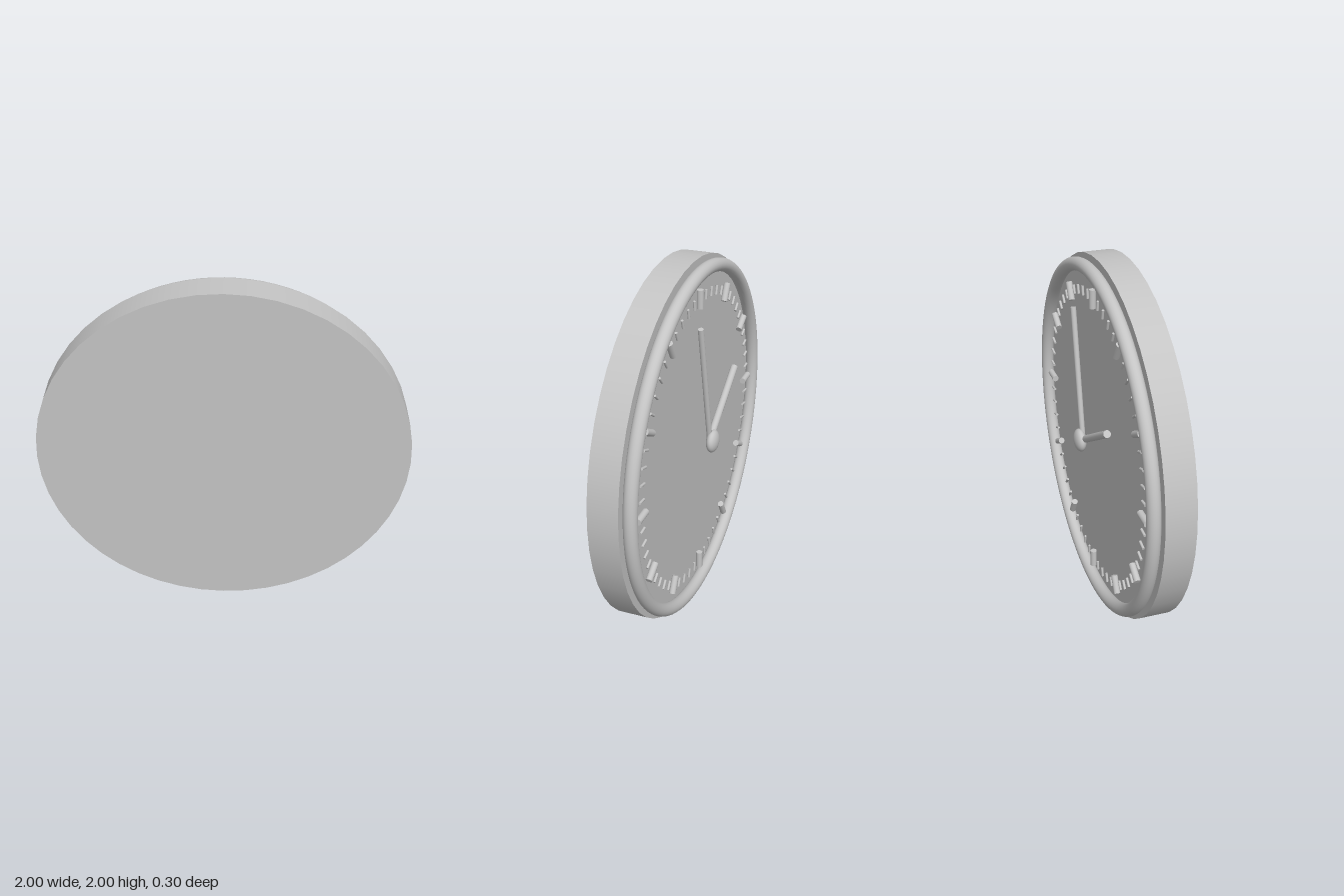
import * as THREE from 'three';

export function createModel() {
  const model = new THREE.Group();
  const grey = new THREE.MeshStandardMaterial({ color: 0xc4c4c4 });
  grey.name = 'plain grey';

  // The dial looks towards -z; everything is placed around its centre.
  const clock = new THREE.Group();
  clock.name = 'clock';
  clock.position.y = 1;
  model.add(clock);

  function add(name, geometry, parent = clock) {
    const mesh = new THREE.Mesh(geometry, grey);
    mesh.name = name;
    parent.add(mesh);
    return mesh;
  }

  // Round rod lying along a radius; the angle runs clockwise from twelve as read on the dial.
  function radialRod(name, radius, inner, outer, z, angle, parent) {
    const geometry = new THREE.CylinderGeometry(radius, radius, outer - inner, 16);
    geometry.translate(0, (inner + outer) / 2, 0);
    const rod = add(name, geometry, parent);
    rod.position.z = z;
    rod.rotation.z = angle;
    return rod;
  }

  // Body drum
  const drum = new THREE.CylinderGeometry(1, 1, 0.16, 48);
  drum.rotateX(Math.PI / 2);
  add('body', drum).position.z = 0.073;

  // Raised rim around the dial
  add('rim', new THREE.TorusGeometry(0.944, 0.036, 20, 96)).position.z = -0.044;

  // Hour marks and minute ticks
  const marks = new THREE.Group();
  marks.name = 'dialMarks';
  clock.add(marks);
  for (let i = 0; i < 60; i++) {
    const angle = (i / 60) * Math.PI * 2;
    if (i % 5 === 0) radialRod('hourMark', 0.018, 0.76, 0.86, -0.044, angle, marks);
    else radialRod('minuteTick', 0.007, 0.785, 0.835, -0.044, angle, marks);
  }

  // Hands
  const degree = Math.PI / 180;
  radialRod('hourHand', 0.02, 0, 0.49, -0.1, 58 * degree);
  radialRod('minuteHand', 0.015, 0, 0.73, -0.102, -12 * degree);

  // Flattened hub cap
  const hub = new THREE.SphereGeometry(0.063, 32, 20);
  hub.scale(1, 1, 0.52);
  add('hub', hub).position.z = -0.119;

  return model;
}
